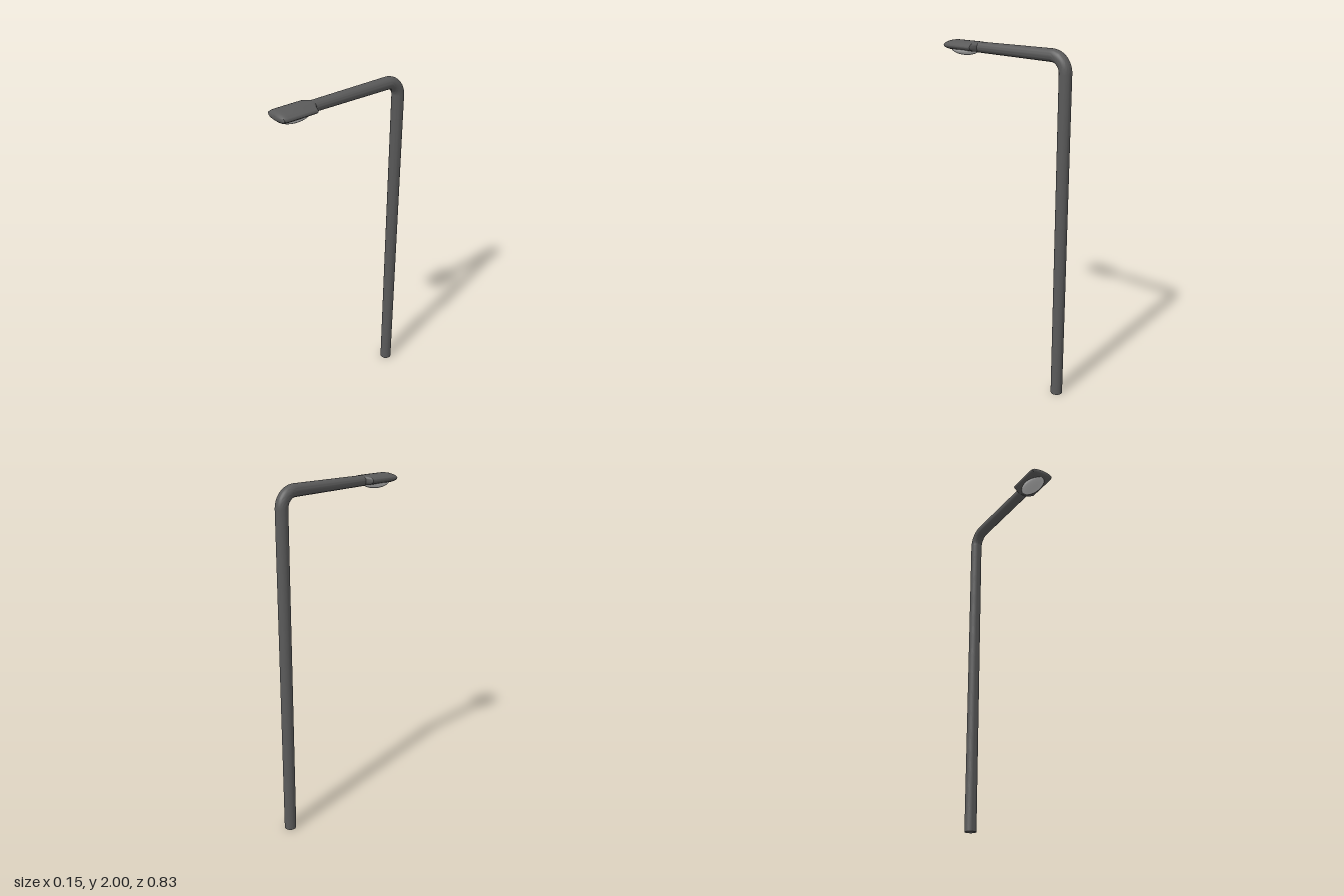
import * as THREE from 'three';
import { toCreasedNormals } from 'three/addons/utils/BufferGeometryUtils.js';

const SIDES = 32;

// Closed skin through elliptical rings: { c: centre, v: second axis, rx, ry }, first axis is +x
function loft(rings) {
  const pos = [], idx = [];
  for (const { c, v, rx, ry } of rings) {
    for (let j = 0; j < SIDES; j++) {
      const a = (j / SIDES) * Math.PI * 2;
      const s = Math.sin(a) * ry;
      pos.push(c.x + Math.cos(a) * rx, c.y + v.y * s, c.z + v.z * s);
    }
  }
  const last = (rings.length - 1) * SIDES;
  const start = rings.length * SIDES, end = start + 1;
  for (const r of [rings[0], rings[rings.length - 1]]) pos.push(r.c.x, r.c.y, r.c.z);
  for (let j = 0; j < SIDES; j++) {
    const k = (j + 1) % SIDES;
    for (let i = 0; i < last; i += SIDES) {
      idx.push(i + j, i + k, i + SIDES + k, i + j, i + SIDES + k, i + SIDES + j);
    }
    idx.push(start, k, j, end, last + j, last + k);
  }
  const geo = new THREE.BufferGeometry();
  geo.setAttribute('position', new THREE.Float32BufferAttribute(pos, 3));
  geo.setIndex(idx);
  return toCreasedNormals(geo, 0.6);
}

export function createModel() {
  const group = new THREE.Group();
  const metal = new THREE.MeshStandardMaterial({ color: 0x5a5a5a });
  const glass = new THREE.MeshStandardMaterial({ color: 0xcccccc });
  const add = (name, geo, mat) => {
    const mesh = new THREE.Mesh(geo, mat);
    mesh.name = name;
    group.add(mesh);
    return mesh;
  };

  // Pole: straight post, quarter bend, horizontal arm tapering slightly to the head
  const R = 0.034, bend = 0.085, poleZ = -0.379, armY = 1.966;
  const rings = [{ c: new THREE.Vector3(0, 0, poleZ), v: new THREE.Vector3(0, 0, -1), rx: R, ry: R }];
  for (let i = 0; i <= 12; i++) {
    const t = (i / 12) * Math.PI / 2;
    const v = new THREE.Vector3(0, Math.sin(t), -Math.cos(t));
    const c = new THREE.Vector3(0, armY - bend, poleZ + bend).addScaledVector(v, bend);
    rings.push({ c, v, rx: R, ry: R });
  }
  const up = new THREE.Vector3(0, 1, 0);
  rings.push({ c: new THREE.Vector3(0, 1.968, 0.2), v: up, rx: R, ry: 0.029 });
  add('pole', loft(rings), metal);

  // Lamp head: flat oval sections along z as [z, half width, half height]
  const sections = [
    [0.188, 0.034, 0.027], [0.207, 0.073, 0.027], [0.375, 0.073, 0.027],
    [0.39, 0.072, 0.025], [0.402, 0.069, 0.021], [0.409, 0.055, 0.015], [0.413, 0.03, 0.008],
  ];
  add('lampHead', loft(sections.map(([z, rx, ry]) => ({ c: new THREE.Vector3(0, 1.97, z), v: up, rx, ry }))), metal);

  // Glass bowl under the head
  const lens = add('lens', new THREE.SphereGeometry(1, 32, 12, 0, Math.PI * 2, Math.PI / 2, Math.PI / 2), glass);
  lens.scale.set(0.053, 0.037, 0.097);
  lens.position.set(0, 1.955, 0.302);

  return group;
}
